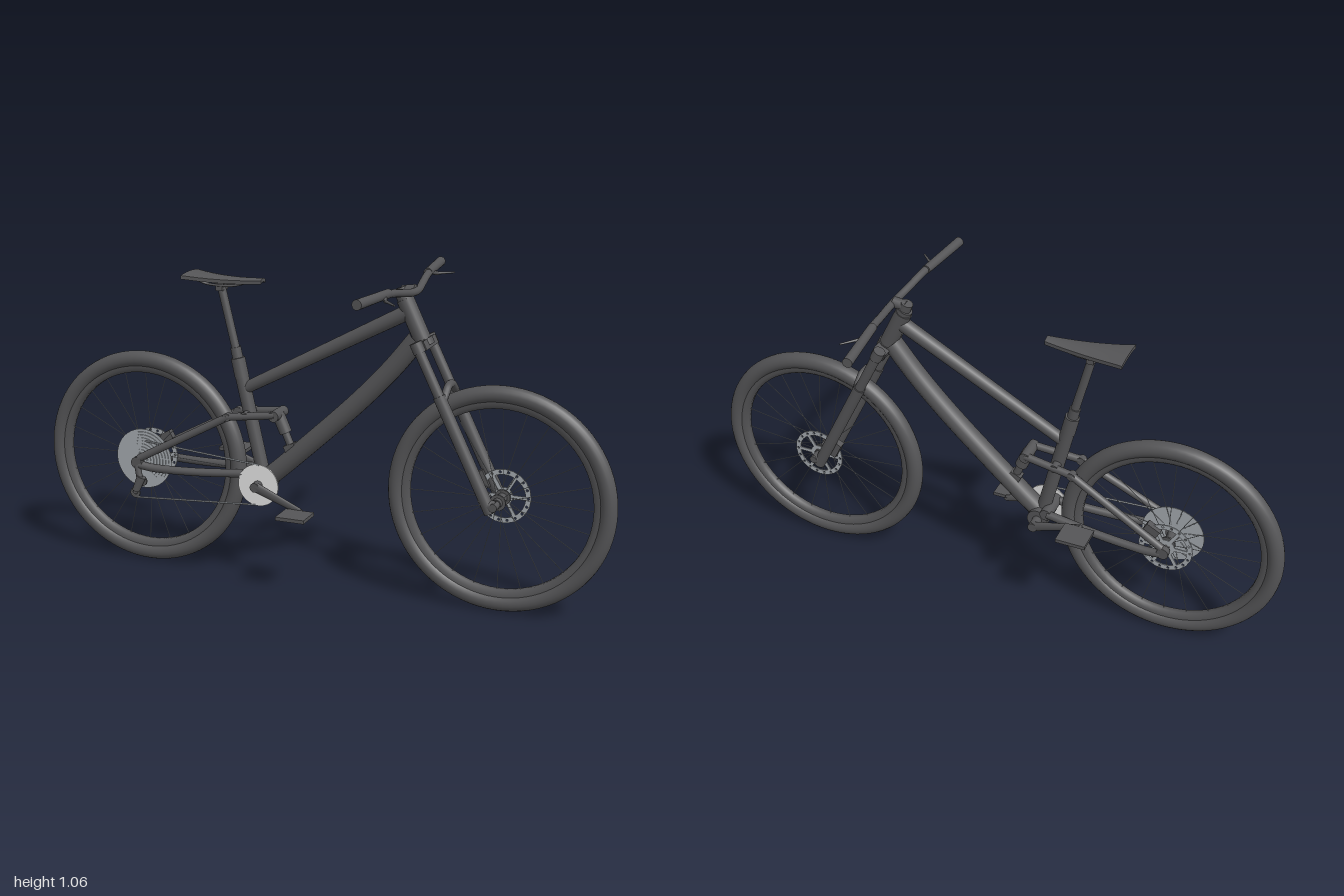
import * as THREE from 'three';

const V = (x, y, z = 0) => new THREE.Vector3(x, y, z);

export function createModel() {
  const bike = new THREE.Group();
  bike.name = 'mountainBike';
  const paint = (name, color) => {
    const m = new THREE.MeshStandardMaterial({ color });
    m.name = name;
    return m;
  };
  const dark = paint('darkGrey', 0x555557);
  const steel = paint('steel', 0xa4a9ae);
  const silver = paint('silver', 0xe4e4e4);

  const add = (name, geo, mat = dark, parent = bike) => {
    const m = new THREE.Mesh(geo, mat);
    m.name = name;
    parent.add(m);
    return m;
  };
  // straight round bar from a to b
  const bar = (name, a, b, r, r2 = r, mat = dark, parent = bike, sides = 20) => {
    const m = add(name, new THREE.CylinderGeometry(r2, r, a.distanceTo(b), sides), mat, parent);
    m.position.copy(a).lerp(b, 0.5);
    m.quaternion.setFromUnitVectors(V(0, 1), b.clone().sub(a).normalize());
    return m;
  };
  // bent round bar through points
  const bend = (name, pts, r) =>
    add(name, new THREE.TubeGeometry(new THREE.CatmullRomCurve3(pts, false, 'catmullrom', 0.5), 36, r, 14));
  const box = (name, w, h, d, p) => {
    const m = add(name, new THREE.BoxGeometry(w, h, d));
    m.position.copy(p);
    return m;
  };
  const discAt = (name, r, z0, z1, c, mat = dark, parent = bike) =>
    bar(name, V(c.x, c.y, z0), V(c.x, c.y, z1), r, r, mat, parent, 40);

  // brake rotor: pierced ring on a six-arm spider
  const rotorGeo = () => {
    const s = new THREE.Shape().absarc(0, 0, 0.09, 0, Math.PI * 2);
    const step = Math.PI / 3;
    for (let i = 0; i < 6; i++) {
      const a = i * step;
      const hole = new THREE.Path();
      hole.absarc(0, 0, 0.072, a + 0.08, a + step - 0.08, false);
      hole.absarc(0, 0, 0.03, a + step - 0.2, a + 0.2, true);
      hole.closePath();
      s.holes.push(hole);
    }
    for (let i = 0; i < 18; i++) {
      const a = i * Math.PI / 9;
      s.holes.push(new THREE.Path().absarc(0.081 * Math.cos(a), 0.081 * Math.sin(a), 0.004, 0, Math.PI * 2));
    }
    return new THREE.ExtrudeGeometry(s, { depth: 0.004, bevelEnabled: false, curveSegments: 10 });
  };

  // wheels: tyre, rim, hub, spokes and rotor
  const rimProfile = [[0.325, 0.017], [0.312, 0.017], [0.3, 0.009], [0.3, -0.009], [0.312, -0.017], [0.325, -0.017]]
    .map(q => new THREE.Vector2(...q));
  const wheel = (name, x, rotorZ) => {
    const w = new THREE.Group();
    w.name = name;
    w.position.set(x, 0.374, 0);
    bike.add(w);
    add('tyre', new THREE.TorusGeometry(0.345, 0.028, 18, 80), dark, w);
    add('rim', new THREE.LatheGeometry(rimProfile, 72).rotateX(Math.PI / 2), dark, w);
    discAt('hub', 0.016, -0.05, 0.05, V(0, 0), dark, w);
    for (const z of [-0.028, 0.028]) discAt('hubFlange', 0.026, z - 0.003, z + 0.003, V(0, 0), dark, w);
    for (let i = 0; i < 24; i++) {
      const a = i * Math.PI / 12, b = a + (i % 4 < 2 ? 0.06 : -0.06), z = i % 2 ? 0.028 : -0.028;
      bar('spoke', V(0.024 * Math.cos(b), 0.024 * Math.sin(b), z),
        V(0.302 * Math.cos(a), 0.302 * Math.sin(a), 0), 0.0012, 0.0012, steel, w, 5);
    }
    add('brakeRotor', rotorGeo(), steel, w).position.z = rotorZ;
  };
  wheel('rearWheel', -0.627, -0.05);
  wheel('frontWheel', 0.627, -0.045);

  // main frame
  const bb = V(-0.185, 0.34), rear = V(-0.627, 0.374);
  bend('downTube', [V(-0.175, 0.35), V(-0.09, 0.425), V(0.12, 0.62), V(0.25, 0.755), V(0.345, 0.872)], 0.033);
  bar('topTube', V(-0.25, 0.655), V(0.312, 0.955), 0.02, 0.025);
  bar('seatTube', bb, V(-0.27, 0.715), 0.023);
  bar('seatCollar', V(-0.265, 0.69), V(-0.279, 0.755), 0.024);
  bar('seatPostSleeve', V(-0.275, 0.735), V(-0.287, 0.79), 0.018);
  bar('seatPost', V(-0.275, 0.74), V(-0.333, 0.982), 0.014);
  bar('headTube', V(0.3, 0.995), V(0.367, 0.855), 0.028);
  bar('lowerHeadset', V(0.36, 0.87), V(0.37, 0.85), 0.032);
  bar('upperHeadset', V(0.294, 1.008), V(0.303, 0.99), 0.025);
  discAt('bottomBracketShell', 0.036, -0.045, 0.045, bb);

  // saddle: flat wedge, wide and raised at the tail
  const saddleGeo = new THREE.BoxGeometry(0.265, 1, 1, 12, 1, 8);
  const p = saddleGeo.attributes.position;
  for (let i = 0; i < p.count; i++) {
    const t = (p.getX(i) + 0.1325) / 0.265, s = p.getZ(i) * 2;
    const half = 0.065 - 0.047 * Math.pow(t, 0.85);
    const top = 1.019 + 0.015 * (1 - t) ** 2 + 0.008 * t * t - 0.006 * s * s;
    const thick = 0.012 + 0.01 * Math.sin(Math.PI * t) * (1 - s * s);
    p.setXYZ(i, -0.45 + t * 0.265, p.getY(i) > 0 ? top : top - thick, s * half);
  }
  saddleGeo.computeVertexNormals();
  add('saddle', saddleGeo);
  for (const s of [-1, 1])
    bend('saddleRail', [V(-0.41, 1.012, s * 0.03), V(-0.37, 0.998, s * 0.02), V(-0.29, 0.998, s * 0.02), V(-0.23, 1.012, s * 0.008)], 0.004);
  box('saddleClamp', 0.024, 0.022, 0.044, V(-0.334, 0.989));

  // suspension fork
  const axis = y => 0.365 + (0.86 - y) * 0.49;
  const fork = (y, z, off = 0) => V(axis(y) + off, y, z);
  const tilt = Math.atan(0.49);
  box('forkCrown', 0.045, 0.03, 0.12, V(axis(0.855), 0.855)).rotation.z = tilt;
  for (const s of [-1, 1]) {
    const z = s * 0.067;
    bar('crownClamp', fork(0.842, z), fork(0.874, z), 0.02);
    bar('stanchion', fork(0.86, z), fork(0.68, z), 0.0165);
    bar('forkLower', fork(0.71, z), fork(0.35, z), 0.02);
    bar('forkDropout', fork(0.375, z), V(0.627, 0.37, z), 0.019, 0.021);
  }
  bend('forkArch', [fork(0.695, 0.072, 0.006), fork(0.716, 0.045, 0.018), fork(0.733, 0.018, 0.026),
    fork(0.733, -0.018, 0.026), fork(0.716, -0.045, 0.018), fork(0.695, -0.072, 0.006)], 0.013);
  discAt('frontAxle', 0.013, -0.088, 0.088, V(0.627, 0.374));
  box('frontCaliper', 0.03, 0.06, 0.026, V(0.555, 0.42, -0.05)).rotation.z = tilt;

  // cockpit
  bar('steererCap', V(0.287, 1.032), V(0.3, 1.0), 0.02);
  bar('stem', V(0.292, 1.02), V(0.335, 1.026), 0.018);
  bend('handlebar', [V(0.29, 1.049, -0.39), V(0.312, 1.046, -0.2), V(0.325, 1.033, -0.1), V(0.335, 1.023, -0.03),
    V(0.335, 1.023, 0.03), V(0.325, 1.033, 0.1), V(0.312, 1.046, 0.2), V(0.29, 1.049, 0.39)], 0.0125);
  for (const s of [-1, 1]) {
    bar('grip', V(0.311, 1.047, s * 0.19), V(0.288, 1.049, s * 0.4), 0.0145, 0.016);
    bar('leverBody', V(0.311, 1.043, s * 0.225), V(0.325, 1.035, s * 0.255), 0.008, 0.006);
    bar('brakeLever', V(0.322, 1.036, s * 0.25), V(0.368, 1.034, s * 0.298), 0.005, 0.003);
  }

  // rear suspension, mirrored
  for (const s of [-1, 1]) {
    bar('seatStay', V(-0.622, 0.388, s * 0.074), V(-0.3, 0.56, s * 0.046), 0.013);
    bend('chainStay', [V(-0.62, 0.365, s * 0.074), V(-0.55, 0.358, s * 0.07), V(-0.4, 0.36, s * 0.058), V(-0.22, 0.372, s * 0.042)], 0.014);
    bar('rearDropout', V(-0.627, 0.374, s * 0.064), V(-0.627, 0.374, s * 0.086), 0.02);
    bar('rockerLink', V(-0.305, 0.56, s * 0.046), V(-0.135, 0.58, s * 0.034), 0.013);
    discAt('rockerPivot', 0.014, s * 0.045 - 0.012, s * 0.045 + 0.012, V(-0.3, 0.56));
  }
  discAt('linkPivot', 0.014, -0.05, 0.05, V(-0.239, 0.569));
  discAt('shockPivot', 0.018, -0.044, 0.044, V(-0.135, 0.577));
  discAt('swingPivot', 0.02, -0.05, 0.05, V(-0.215, 0.372));
  bar('shockBody', V(-0.135, 0.577), V(-0.108, 0.515), 0.021);
  bar('shockShaft', V(-0.12, 0.54), V(-0.085, 0.46), 0.013);
  box('shockMount', 0.04, 0.05, 0.03, V(-0.085, 0.455)).rotation.z = 0.4;
  discAt('rearAxle', 0.011, -0.086, 0.086, rear);
  box('rearCaliper', 0.05, 0.03, 0.024, V(-0.58, 0.437, -0.053)).rotation.z = 0.5;

  // stepped cassette and chainring
  for (let i = 0; i < 9; i++)
    discAt('cassetteCog', 0.105 - i * 0.0095, 0.026 + i * 0.0035, 0.0285 + i * 0.0035, rear, steel);
  discAt('cassetteCore', 0.026, 0.026, 0.058, rear, steel);
  discAt('chainring', 0.072, 0.053, 0.058, bb, silver);
  discAt('crankSpindle', 0.016, -0.09, 0.09, bb);

  // cranks and pedals
  for (const s of [-1, 1]) {
    const end = V(bb.x + s * 0.167, bb.y - s * 0.06, s * 0.093);
    bar('crankArm', V(bb.x, bb.y, s * 0.08), end, 0.018, 0.011).scale.z = 0.55;
    discAt('pedalAxle', 0.006, s * 0.136 - 0.05, s * 0.136 + 0.05, end);
    box('pedal', 0.1, 0.012, 0.09, V(end.x, end.y, s * 0.142));
  }

  // derailleur and chain
  const upper = V(-0.617, 0.305, 0.066), lower = V(-0.645, 0.26, 0.07);
  bar('derailleurHanger', V(-0.627, 0.365, 0.078), V(-0.617, 0.31, 0.08), 0.011);
  bar('derailleurBody', V(-0.612, 0.325, 0.08), V(-0.632, 0.275, 0.085), 0.016, 0.013);
  bar('derailleurCage', upper, lower, 0.008);
  discAt('guidePulley', 0.018, 0.062, 0.068, upper);
  discAt('tensionPulley', 0.018, 0.062, 0.068, lower);
  bar('lowerChain', V(-0.645, 0.243, 0.064), V(-0.195, 0.27, 0.056), 0.003, 0.003, steel);
  bar('upperChain', V(-0.61, 0.442, 0.045), V(-0.18, 0.41, 0.056), 0.003, 0.003, steel);

  return bike;
}
